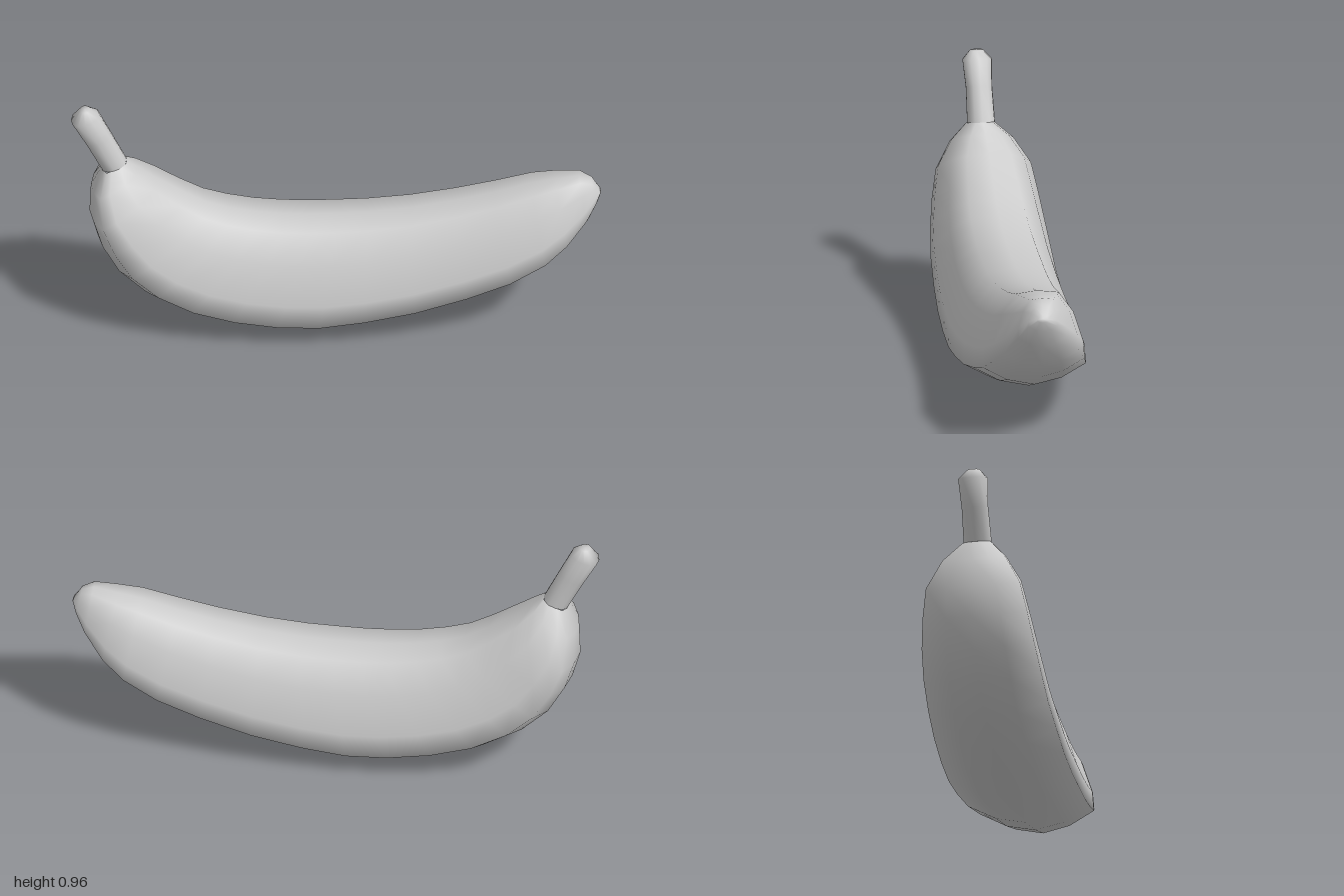
import * as THREE from 'three';

// Half cross-section from keel to inner edge: [share of half width, share of height]
const HALF = [[0, 0], [0.52, 0.06], [1, 0.2], [0.98, 0.4], [0.78, 0.74], [0.47, 0.97], [0, 1]];
const STEM_HALF = [[0, 0], [0.6, 0.06], [0.95, 0.25], [1, 0.5], [0.9, 0.75], [0.55, 0.95], [0, 1]];

// Stations: [inner x, inner y, outer x, outer y, half width, z centre]
const BASE = [-0.79, 0.72, -0.885, 0.69, 0.053, 0.012];
const STEM = [
  [-0.93, 0.957, -0.965, 0.955, 0.025, 0.015],
  [-0.895, 0.935, -1.0, 0.905, 0.056, 0.013],
  [-0.85, 0.845, -0.945, 0.805, 0.05, 0.012],
  BASE,
];
const BODY = [
  BASE,
  [-0.75, 0.685, -0.925, 0.6, 0.12, 0.005],
  [-0.68, 0.63, -0.93, 0.48, 0.18, 0],
  [-0.58, 0.565, -0.9, 0.37, 0.2, 0],
  [-0.49, 0.515, -0.84, 0.26, 0.215, 0],
  [-0.4, 0.487, -0.74, 0.165, 0.225, 0],
  [-0.3, 0.468, -0.6, 0.085, 0.23, 0],
  [-0.2, 0.458, -0.43, 0.035, 0.235, 0],
  [-0.1, 0.455, -0.25, 0.005, 0.236, 0],
  [0, 0.457, -0.08, 0, 0.236, 0],
  [0.12, 0.462, 0.1, 0.025, 0.232, 0],
  [0.28, 0.48, 0.3, 0.065, 0.223, 0],
  [0.45, 0.513, 0.5, 0.125, 0.21, 0],
  [0.6, 0.55, 0.67, 0.19, 0.197, 0],
  [0.74, 0.592, 0.8, 0.265, 0.175, 0],
  [0.83, 0.61, 0.88, 0.34, 0.142, 0],
  [0.92, 0.625, 0.95, 0.44, 0.093, 0.005],
  [0.965, 0.608, 0.985, 0.515, 0.055, 0.008],
  [0.985, 0.58, 1.0, 0.555, 0.02, 0.01],
];

// Closed skin through the stations, optionally capped at either end
function loft(stations, half, capStart, capEnd) {
  const ring = [...half, ...half.slice(1, -1).reverse().map(([w, h]) => [-w, h])];
  const n = ring.length;
  const pos = [];
  const index = [];
  for (const [tx, ty, bx, by, width, z] of stations) {
    for (const [w, h] of ring) pos.push(bx + (tx - bx) * h, by + (ty - by) * h, z + w * width);
  }
  const centre = ([tx, ty, bx, by, , z]) => {
    pos.push((tx + bx) / 2, (ty + by) / 2, z);
    return pos.length / 3 - 1;
  };
  const last = (stations.length - 1) * n;
  const start = capStart ? centre(stations[0]) : -1;
  const end = capEnd ? centre(stations[stations.length - 1]) : -1;
  for (let j = 0; j < n; j++) {
    const k = (j + 1) % n;
    for (let i = 0; i < last; i += n) {
      index.push(i + j, i + n + j, i + n + k, i + j, i + n + k, i + k);
    }
    if (capStart) index.push(start, j, k);
    if (capEnd) index.push(last + j, end, last + k);
  }
  const geo = new THREE.BufferGeometry();
  geo.setAttribute('position', new THREE.Float32BufferAttribute(pos, 3));
  geo.setIndex(index);
  geo.computeVertexNormals();
  return geo;
}

export function createModel() {
  const group = new THREE.Group();
  group.name = 'banana';
  const material = new THREE.MeshStandardMaterial({ color: 0xcccccc });

  // Curved fruit with a flat inner face and a keeled outer side
  const body = new THREE.Mesh(loft(BODY, HALF, false, true), material);
  body.name = 'fruitBody';

  // Stem, with its lower end matching the neck of the fruit
  const stem = new THREE.Mesh(loft(STEM, STEM_HALF, true, false), material);
  stem.name = 'stem';

  group.add(body, stem);
  return group;
}
